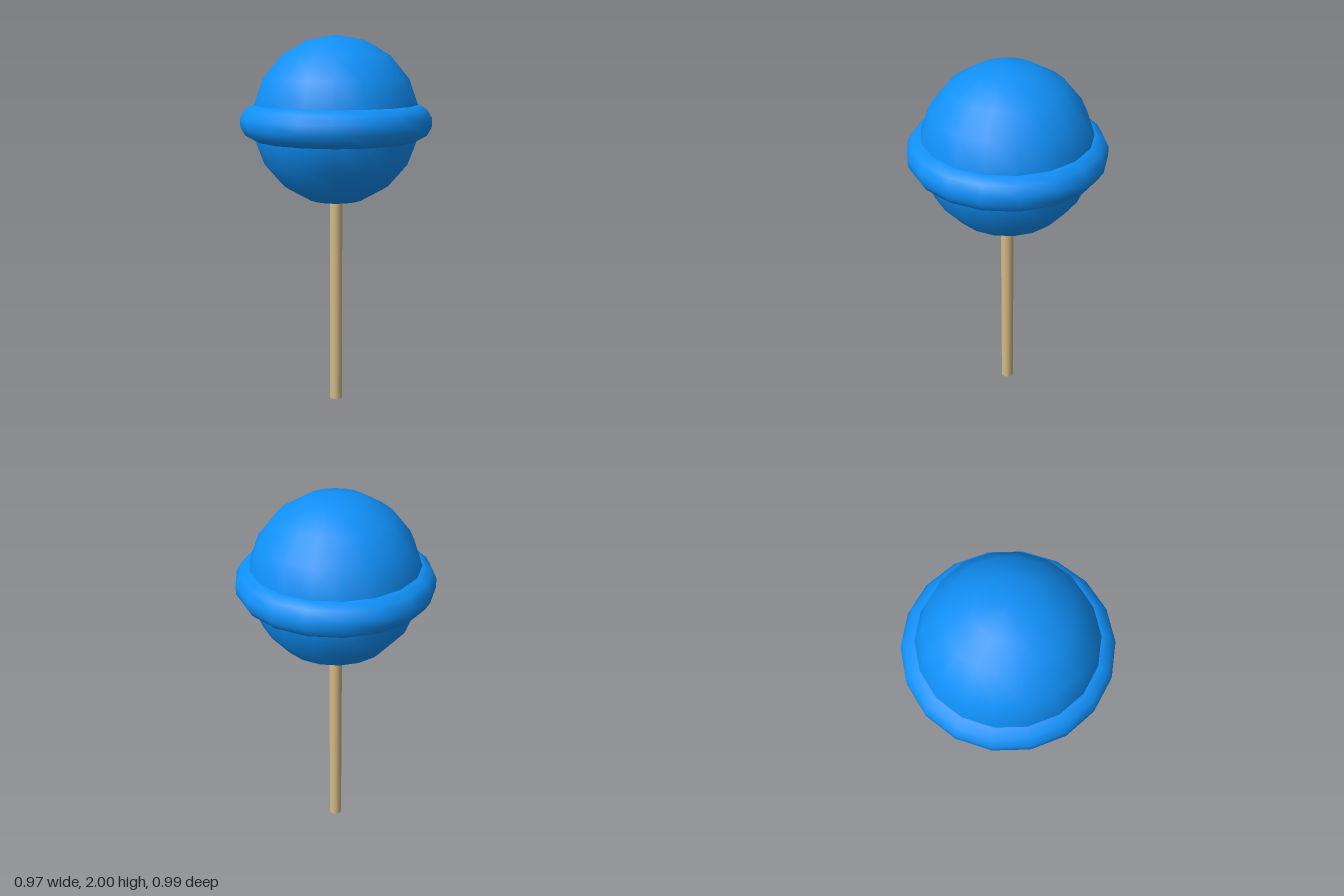
import * as THREE from 'three';

const SIDES = 18;
const CENTER_Y = 1.567;

export function createModel() {
  const model = new THREE.Group();
  const candy = new THREE.MeshStandardMaterial({ color: 0x1090f8 });
  const wood = new THREE.MeshStandardMaterial({ color: 0xd2bb86 });

  const add = (name, geometry, material, y) => {
    const mesh = new THREE.Mesh(geometry, material);
    mesh.name = name;
    mesh.position.y = y;
    model.add(mesh);
  };

  // Candy ball, turned so that its corners lie on the z axis
  const ball = new THREE.SphereGeometry(0.433, SIDES, 9).rotateY(Math.PI / 2);
  add('candyBall', ball, candy, CENTER_Y);

  // Rounded band: a 12-sided circle with a flat outer side, swept around the ball
  const profile = [];
  for (let i = 0; i <= 12; i++) {
    const a = Math.PI + ((i + 0.5) / 12) * Math.PI * 2;
    profile.push(new THREE.Vector2(0.405 + 0.092 * Math.cos(a), 0.092 * Math.sin(a)));
  }
  add('candyBand', new THREE.LatheGeometry(profile, SIDES), candy, CENTER_Y);

  // Stick, ending inside the ball
  add('stick', new THREE.CylinderGeometry(0.034, 0.034, 1.3, SIDES), wood, 0.65);

  return model;
}
